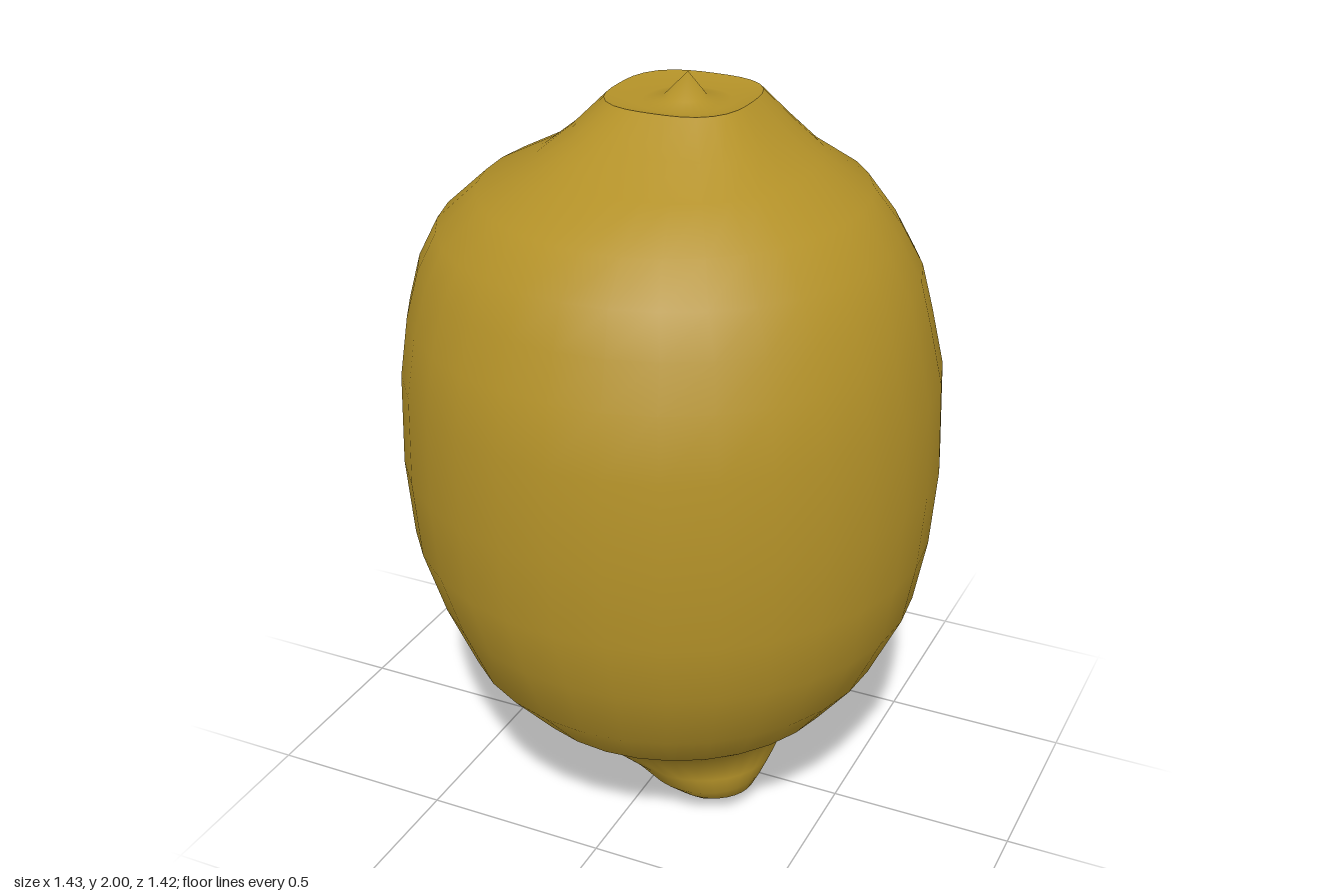
import * as THREE from 'three';

const SEGMENTS = 32;

// Cross-sections: [y, right x, left x, back z, front z, squareness]
const SKIN = [
  [0.01, 0.13, 0.21, 0.11, 0.19, 0],
  [0.06, 0.05, 0.30, 0.02, 0.25, 0],
  [0.10, -0.01, 0.32, -0.04, 0.29, 0],
  [0.15, -0.10, 0.34, -0.10, 0.31, 0],
  [0.22, -0.31, 0.36, -0.29, 0.35, 0],
  [0.33, -0.42, 0.49, -0.44, 0.50, 0],
  [0.46, -0.54, 0.59, -0.53, 0.61, 0],
  [0.63, -0.63, 0.67, -0.62, 0.67, 0],
  [0.80, -0.69, 0.70, -0.67, 0.71, 0],
  [1.00, -0.72, 0.71, -0.71, 0.71, 0],
  [1.25, -0.71, 0.70, -0.71, 0.71, 0],
  [1.40, -0.70, 0.66, -0.69, 0.66, 0],
  [1.52, -0.67, 0.63, -0.65, 0.62, 0],
  [1.62, -0.62, 0.57, -0.61, 0.57, 0],
  [1.72, -0.51, 0.49, -0.54, 0.49, 0],
  [1.80, -0.36, 0.36, -0.41, 0.34, 0.02],
  [1.86, -0.29, 0.27, -0.36, 0.22, 0.04],
  [1.94, -0.21, 0.18, -0.29, 0.11, 0.05],
];

const SCAR = [
  SKIN[SKIN.length - 1],
  [1.925, -0.12, 0.11, -0.20, 0.04, 0.03],
  [1.945, -0.05, 0.06, -0.11, 0.00, 0],
];

// Joins the cross-sections, closing the ends that have a pole point
function loft(rows, bottom, top) {
  const points = [];
  const index = [];
  for (const [y, x0, x1, z0, z1, square] of rows) {
    for (let j = 0; j < SEGMENTS; j++) {
      const a = (j / SEGMENTS) * Math.PI * 2;
      const r = 1 - square * Math.cos(4 * a);
      points.push(
        (x0 + x1) / 2 + ((x1 - x0) / 2) * r * Math.cos(a),
        y,
        (z0 + z1) / 2 + ((z1 - z0) / 2) * r * Math.sin(a),
      );
    }
  }
  const last = (rows.length - 1) * SEGMENTS;
  const bottomId = points.length / 3;
  if (bottom) points.push(...bottom);
  const topId = points.length / 3;
  if (top) points.push(...top);

  for (let j = 0; j < SEGMENTS; j++) {
    const k = (j + 1) % SEGMENTS;
    for (let i = 0; i < last; i += SEGMENTS) {
      const a = i + j, b = i + k, c = a + SEGMENTS, d = b + SEGMENTS;
      index.push(a, c, b, b, c, d);
    }
    if (bottom) index.push(bottomId, j, k);
    if (top) index.push(last + j, topId, last + k);
  }
  const geometry = new THREE.BufferGeometry();
  geometry.setAttribute('position', new THREE.Float32BufferAttribute(points, 3));
  geometry.setIndex(index);
  geometry.computeVertexNormals();
  return geometry;
}

export function createModel() {
  const group = new THREE.Group();
  group.name = 'lemon';
  const peel = new THREE.MeshStandardMaterial({ color: 0xb39128 });
  peel.name = 'lemon peel';

  // Body with the off-centre tip at the bottom
  const body = new THREE.Mesh(loft(SKIN, [0.17, 0, 0.15], null), peel);
  body.name = 'body';

  // Sunken stem scar with its small nib, meeting the body at a sharp rim
  const scar = new THREE.Mesh(loft(SCAR, null, [0, 2, -0.08]), peel);
  scar.name = 'stemScar';

  group.add(body, scar);
  return group;
}
